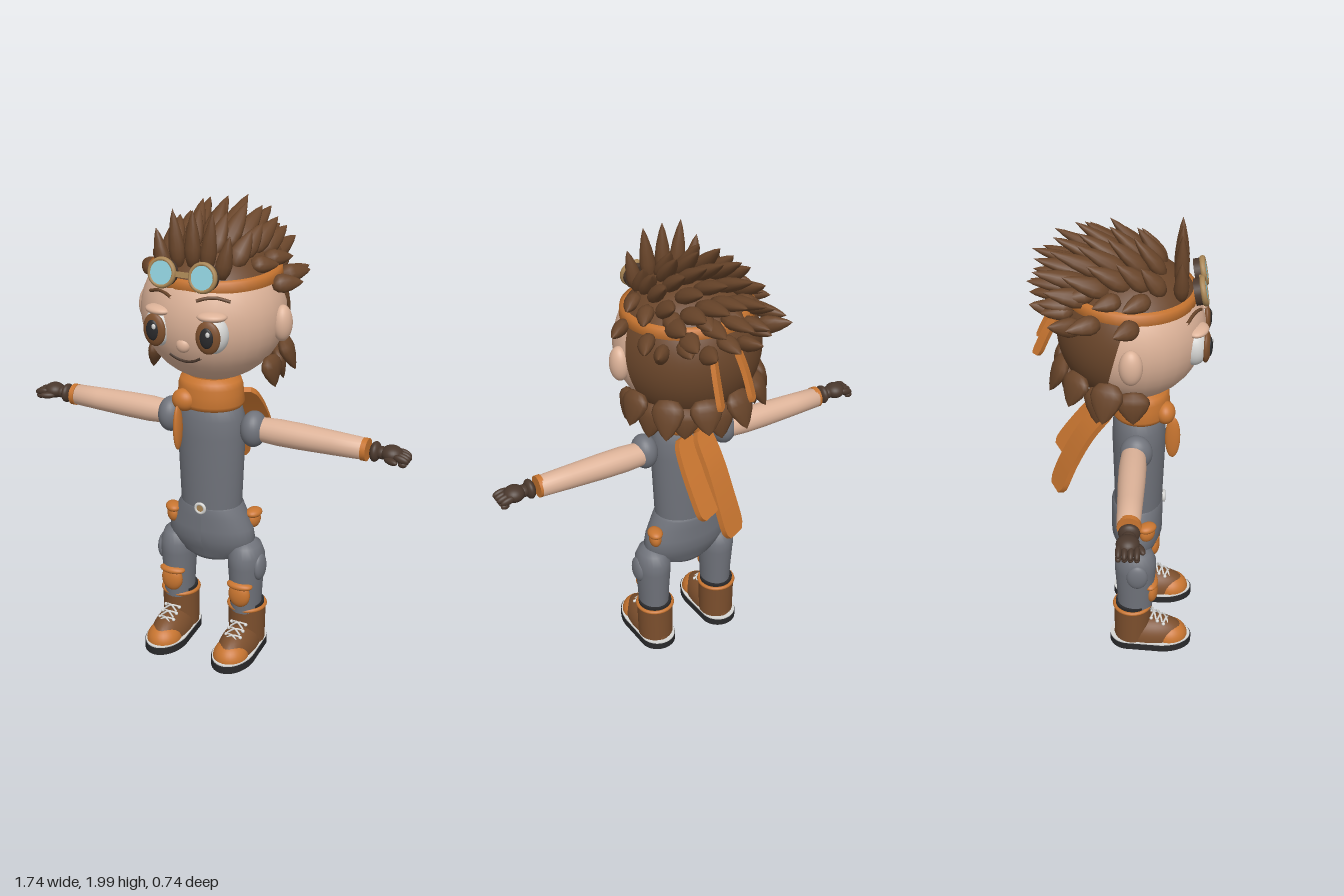
import * as THREE from 'three';

const mat = (name, color) => {
  const m = new THREE.MeshStandardMaterial({ color, side: THREE.DoubleSide });
  m.name = name;
  return m;
};
const V = (x, y, z) => new THREE.Vector3(x, y, z);

export function createModel() {
  const skin = mat('skin', 0xdcb298), hair = mat('hair brown', 0x69452a), orange = mat('orange cloth', 0xc87530),
    suit = mat('suit grey', 0x70737b), boot = mat('boot brown', 0x7c4f2d), glove = mat('glove brown', 0x4a382d),
    black = mat('black rubber', 0x2a2a2c), pale = mat('pale silver', 0xd6d6d4), lens = mat('lens blue', 0x8fd0dc),
    brass = mat('brass', 0xa98655);
  const model = new THREE.Group();
  model.name = 'character';

  const add = (name, geo, m, pos = [0, 0, 0], rot = [0, 0, 0], scale = [1, 1, 1], parent = model) => {
    const mesh = new THREE.Mesh(geo, m);
    mesh.name = name;
    mesh.position.set(...pos);
    mesh.rotation.set(...rot);
    mesh.scale.set(...scale);
    parent.add(mesh);
    return mesh;
  };
  const sphere = new THREE.SphereGeometry(1, 28, 20);
  const dome = new THREE.SphereGeometry(1, 28, 12, 0, Math.PI * 2, 0, Math.PI / 2);
  const ball = (name, m, pos, radii, rot) => add(name, sphere, m, pos, rot, radii);
  const lathe = (pts, seg = 32) => new THREE.LatheGeometry(pts.map(p => new THREE.Vector2(...p)), seg);
  const tube = (pts, r) => new THREE.TubeGeometry(new THREE.CatmullRomCurve3(pts), 14, r, 6);
  // Cloth strip that follows a curve, turned about the vertical, with rounded ends
  const ribbon = (pts, width, thick, turn) => {
    const curve = new THREE.CatmullRomCurve3(pts);
    const g = new THREE.BoxGeometry(1, 1, 1, 4, 18, 1), p = g.attributes.position;
    const across = V(Math.cos(turn), 0, -Math.sin(turn));
    for (let i = 0; i < p.count; i++) {
      const t = 0.5 - p.getY(i), w = width * (0.85 + 0.15 * t) * Math.sqrt(1 - Math.abs(2 * t - 1) ** 10 * 0.6);
      const c = curve.getPoint(t), n = across.clone().cross(curve.getTangent(t)).normalize().negate();
      c.addScaledVector(across, p.getX(i) * w).addScaledVector(n, p.getZ(i) * thick);
      p.setXYZ(i, c.x, c.y, c.z);
    }
    g.computeVertexNormals();
    return g;
  };

  // Torso and hips
  add('torso', lathe([[0.13, 0.62], [0.137, 0.7], [0.143, 0.85], [0.15, 1.02], [0.147, 1.1], [0.13, 1.16], [0.09, 1.2]]),
    suit, [0, 0, 0.065], [0, 0, 0], [1, 1, 0.76]);
  const hips = lathe([[0, 0.43], [0.1, 0.433], [0.145, 0.45], [0.18, 0.49], [0.2, 0.54], [0.19, 0.59], [0.163, 0.65], [0.143, 0.69], [0.136, 0.7]]);
  const hp = hips.attributes.position;
  for (let i = 0; i < hp.count; i++) {
    const r = Math.hypot(hp.getX(i), hp.getZ(i));
    const depth = 0.112 * Math.min(1, 0.6 + 0.4 * (hp.getY(i) - 0.43) / 0.11);
    hp.setZ(i, hp.getZ(i) * Math.min(0.78, depth / (r || 1)));
  }
  hips.computeVertexNormals();
  add('hips', hips, suit, [0, 0, 0.06]);
  add('beltBuckle', new THREE.TorusGeometry(0.021, 0.007, 8, 20), pale, [0, 0.7, 0.177]);
  add('beltBuckleCentre', new THREE.CylinderGeometry(0.018, 0.018, 0.01, 18), brass, [0, 0.7, 0.175], [Math.PI / 2, 0, 0]);
  for (const [x, z, ry] of [[-0.165, 0.11, -0.9], [0.176, 0.01, 1.4]]) {
    ball('pouch', orange, [x, 0.615, z], [0.037, 0.04, 0.027], [0, ry, 0]);
    ball('pouchFlap', orange, [x, 0.645, z], [0.043, 0.021, 0.033], [0, ry, 0]);
  }

  // Scarf with knot and loose ends
  add('scarf', lathe([[0.1, 1.14], [0.135, 1.15], [0.146, 1.17], [0.14, 1.21], [0.138, 1.24], [0.13, 1.265], [0.1, 1.28]]),
    orange, [0, 0, 0.07], [0, 0, 0], [1, 1, 0.87]);
  ball('scarfKnot', orange, [-0.072, 1.185, 0.175], [0.052, 0.048, 0.042]);
  ball('scarfFrontEnd', orange, [-0.085, 1.07, 0.208], [0.016, 0.1, 0.032]);
  add('scarfBackEnd', ribbon([V(0.08, 1.17, -0.07), V(0.085, 1.08, -0.145), V(0.08, 0.98, -0.22), V(0.07, 0.89, -0.28)], 0.13, 0.026, 0.45), orange);
  add('scarfBackEnd', ribbon([V(-0.01, 1.17, -0.06), V(-0.02, 1.05, -0.155), V(-0.03, 0.9, -0.235), V(-0.045, 0.76, -0.29)], 0.13, 0.026, 0.45), orange);

  // Arms, legs and boots on both sides
  const armGeo = lathe([[0.05, 0], [0.056, 0.1], [0.055, 0.2], [0.05, 0.35], [0.045, 0.48], [0, 0.485]], 24);
  const legGeo = lathe([[0.066, 0.2], [0.07, 0.3], [0.078, 0.42], [0.078, 0.47], [0.062, 0.515], [0.035, 0.533], [0, 0.54]], 24);
  const soleShape = new THREE.Shape();
  soleShape.absellipse(0, -0.18, 0.092, 0.137, Math.PI, Math.PI * 2);
  soleShape.absellipse(0, -0.03, 0.083, 0.083, 0, Math.PI);
  const slab = h => new THREE.ExtrudeGeometry(soleShape, { depth: h, bevelEnabled: false, curveSegments: 24 });
  const sole = slab(0.033), welt = slab(0.005);
  for (const s of [1, -1]) {
    const side = s > 0 ? 'left' : 'right';
    const turn = [0, 0, -s * Math.PI / 2];
    ball(side + 'Shoulder', suit, [s * 0.193, 1.06, 0.06], [0.056, 0.078, 0.068]);
    add(side + 'Arm', armGeo, skin, [s * 0.2, 1.06, 0.05], turn);
    add(side + 'WristCuff', new THREE.CylinderGeometry(0.047, 0.047, 0.022, 24), orange, [s * 0.68, 1.06, 0.053], turn);
    // Gloved hand
    ball(side + 'GloveCuff', glove, [s * 0.722, 1.06, 0.055], [0.022, 0.042, 0.042]);
    ball(side + 'GloveWrist', glove, [s * 0.75, 1.06, 0.055], [0.03, 0.026, 0.028]);
    ball(side + 'Palm', glove, [s * 0.79, 1.063, 0.053], [0.045, 0.034, 0.045]);
    for (let i = 0; i < 4; i++) {
      const z = 0.02 + i * 0.023;
      ball(side + 'Finger', glove, [s * (0.838 - (i === 0 ? 0.008 : 0)), 1.06, z], [0.032, 0.016, 0.0125], [0, 0, -s * 0.25]);
      ball(side + 'Fingertip', glove, [s * 0.845, 1.04, z], [0.018, 0.013, 0.012]);
    }
    ball(side + 'Thumb', glove, [s * 0.8, 1.05, 0.1], [0.034, 0.014, 0.015], [0, -s * 0.45, 0]);

    // Leg with pads
    const x = s * 0.165;
    add(side + 'Leg', legGeo, suit, [x, 0, 0.06], [0, 0, 0], [1, 1, 1.17]);
    ball(side + 'ThighPad', suit, [s * 0.234, 0.42, 0.07], [0.024, 0.062, 0.047]);
    ball(side + 'KneePad', orange, [x, 0.295, 0.132], [0.05, 0.06, 0.03]);
    ball(side + 'KneePadStrap', orange, [x, 0.34, 0.128], [0.06, 0.02, 0.034]);

    // Boot
    add(side + 'BootLining', new THREE.CylinderGeometry(0.076, 0.076, 0.03, 24), black, [x, 0.217, 0.048]);
    add(side + 'BootShaft', new THREE.CylinderGeometry(0.083, 0.08, 0.18, 28), boot, [x, 0.125, 0.048]);
    add(side + 'BootRim', new THREE.TorusGeometry(0.08, 0.009, 8, 28), orange, [x, 0.212, 0.048], [Math.PI / 2, 0, 0]);
    add(side + 'BootFoot', dome, boot, [x, 0.035, 0.13], [0, 0, 0], [0.08, 0.1, 0.165]);
    add(side + 'BootToe', dome, orange, [x, 0.035, 0.215], [0, 0, 0], [0.077, 0.07, 0.085]);
    add(side + 'Sole', sole, black, [x, 0, 0], [-Math.PI / 2, 0, 0]);
    add(side + 'SoleWelt', welt, pale, [x, 0.033, 0], [-Math.PI / 2, 0, 0], [0.97, 0.985, 1]);
    for (let i = 0; i < 3; i++) {
      const y = 0.155 - i * 0.017, z = 0.135 + i * 0.028;
      for (const d of [-1, 1]) {
        add(side + 'Lace', tube([V(x - 0.03 * d, y, z), V(x, y + 0.006, z + 0.012), V(x + 0.03 * d, y - 0.014, z + 0.022)], 0.0045), pale);
        ball(side + 'Eyelet', pale, [x + 0.034 * d, y - 0.004, z], [0.008, 0.008, 0.008]);
      }
    }
  }

  // Head
  const faceZ = (x, y) => 0.04 + 0.29 * Math.sqrt(1 - (x / 0.3) ** 2 - ((y - 1.55) / 0.29) ** 2);
  ball('head', skin, [0, 1.55, 0.04], [0.3, 0.29, 0.29]);
  ball('nose', skin, [0, 1.475, 0.312], [0.03, 0.03, 0.022]);
  add('mouth', tube([-0.068, -0.035, 0, 0.035, 0.068].map(x => {
    const y = 1.402 + 5 * x * x;
    return V(x, y, faceZ(x, y) + 0.001);
  }), 0.006), glove);
  for (const s of [1, -1]) {
    const side = s > 0 ? 'left' : 'right', x = s * 0.117;
    ball(side + 'Ear', skin, [s * 0.303, 1.53, 0.04], [0.04, 0.075, 0.047]);
    ball(side + 'Eye', pale, [x, 1.53, 0.283], [0.063, 0.08, 0.058], [0, s * 0.25, 0]);
    ball(side + 'Iris', boot, [x, 1.528, 0.33], [0.051, 0.067, 0.02], [0, s * 0.1, 0]);
    ball(side + 'Pupil', black, [x, 1.53, 0.344], [0.029, 0.042, 0.012]);
    ball(side + 'EyeGlint', pale, [x + 0.01, 1.548, 0.354], [0.009, 0.011, 0.005]);
    ball(side + 'Eyelid', skin, [x, 1.602, 0.295], [0.06, 0.02, 0.042], [0, s * 0.3, 0]);
    add(side + 'Brow', tube([[0.055, 1.66], [0.085, 1.67], [0.125, 1.673], [0.175, 1.658]]
      .map(([a, b]) => V(s * a, b, faceZ(a, b) + 0.002)), 0.007), hair);
  }

  // Hair shell: crown and back of the head
  const C = V(0, 1.55, 0.03), R = V(0.308, 0.302, 0.302);
  add('hairCrown', new THREE.SphereGeometry(1, 36, 12, 0, Math.PI * 2, 0, 1.03), hair, C.toArray(), [0, 0, 0], R.toArray());
  add('hairBack', new THREE.SphereGeometry(1, 28, 18, Math.PI + 0.18, Math.PI - 0.36, 0.7, 1.75), hair, C.toArray(), [0.25, 0, 0], R.toArray());

  // Leaf-shaped locks, oriented by direction and by the scalp normal
  const lockGeo = lathe([[0, 0], [0.6, 0.05], [0.92, 0.2], [1, 0.36], [0.78, 0.6], [0.38, 0.85], [0, 1]], 12);
  const lock = (base, dir, len, w, thick) => {
    const y = dir.clone().normalize();
    const xa = y.clone().cross(base.clone().sub(C));
    if (xa.lengthSq() < 1e-5) xa.set(1, 0, 0);
    xa.normalize();
    const m = add('hairLock', lockGeo, hair, base.toArray(), [0, 0, 0], [w, len, thick]);
    m.quaternion.setFromRotationMatrix(new THREE.Matrix4().makeBasis(xa, y, xa.clone().cross(y)));
  };
  // Crown rows: z, half width, count, upward and backward lean, length
  for (const [z, half, n, up, back, len] of [
    [0.225, 0.12, 5, 1, 0, 0.24], [0.16, 0.14, 4, 0.8, 0.6, 0.2],
    [0.1, 0.145, 5, 0.7, 0.72, 0.23], [0.03, 0.15, 6, 0.55, 0.85, 0.26], [-0.05, 0.16, 5, 0.42, 0.9, 0.26],
    [-0.12, 0.16, 6, 0.27, 0.95, 0.25], [-0.18, 0.13, 4, 0.12, 1, 0.2]]) {
    for (let i = 0; i < n; i++) {
      const u = (i / (n - 1)) * 2 - 1, x = u * half;
      const y = C.y + R.y * Math.sqrt(1 - (x / R.x) ** 2 - ((z - C.z) / R.z) ** 2) - 0.02;
      const vary = 1 - 0.2 * u * u + (i % 2 ? 0.03 : -0.04);
      lock(V(x, y, z), V(u * 0.22, up, -back), len * vary, z > 0.2 ? 0.033 : 0.042, 0.03);
    }
  }
  // Rings around the head: height, first angle from the front, count, rise, sideways spread, back sweep, length, width
  for (const [y, a0, n, rise, out, back, len, w] of [
    [1.77, 1.2, 8, -0.05, 0.45, 0.6, 0.13, 0.038], [1.69, 1.45, 7, 0.0, 0.55, 0.55, 0.14, 0.04],
    [1.65, 2.3, 4, 0.35, 0.9, 0.3, 0.15, 0.04],
    [1.44, 1.85, 6, -1, 0.4, 0.05, 0.16, 0.068], [1.39, 1.5, 7, -1, 0.22, 0, 0.145, 0.068]]) {
    const r = Math.sqrt(1 - ((y - C.y) / R.y) ** 2) * 0.97;
    for (let i = 0; i < n; i++) {
      const a = a0 + (i / (n - 1)) * (Math.PI * 2 - 2 * a0);
      const sx = Math.sin(a), cz = Math.cos(a);
      lock(V(sx * r * R.x, y, C.z + cz * r * R.z), V(sx * out, rise, cz * out - back), len * (i % 2 ? 1.06 : 0.94), w, 0.03);
    }
  }

  // Headband with two loose ends
  add('headband', lathe([[0.262, -0.024], [0.28, -0.02], [0.276, 0.02], [0.255, 0.024]], 40), orange,
    [0, 1.715, 0.025], [0.04, 0, 0], [0.98, 1, 0.96]);
  for (const x of [0.06, -0.07])
    add('headbandEnd', ribbon([V(x * 0.8, 1.65, -0.25), V(x, 1.56, -0.3), V(x * 1.1, 1.45, -0.35)], 0.045, 0.02, 0.75), orange);

  // Goggles on the forehead
  const goggles = new THREE.Group();
  goggles.name = 'goggles';
  goggles.position.set(0, 1.755, 0.3);
  goggles.rotation.x = -0.2;
  model.add(goggles);
  for (const s of [1, -1]) {
    const cup = (name, r, len, m, z) =>
      add(name, new THREE.CylinderGeometry(r, r, len, 28), m, [s * 0.088, 0, z], [Math.PI / 2, 0, 0], [1, 1, 1], goggles);
    cup('goggleCup', 0.053, 0.035, glove, -0.005);
    cup('goggleLens', 0.048, 0.009, lens, 0.018);
    add('goggleRim', new THREE.TorusGeometry(0.052, 0.009, 10, 28), brass, [s * 0.088, 0, 0.014], [0, 0, 0], [1, 1, 1.3], goggles);
  }
  add('goggleBridge', new THREE.BoxGeometry(0.08, 0.02, 0.02), brass, [0, 0, 0.005], [0, 0, 0], [1, 1, 1], goggles);

  return model;
}
